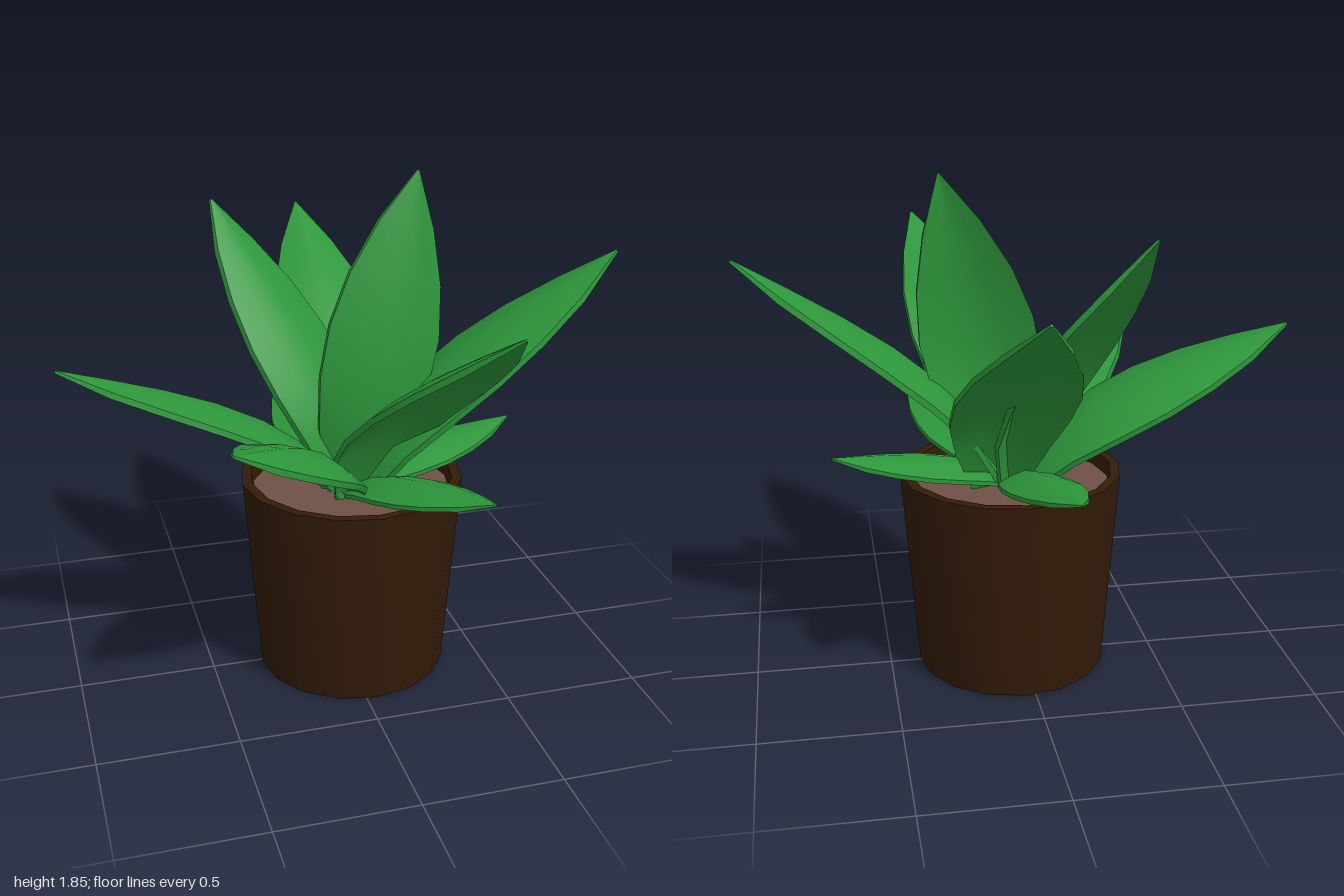
import * as THREE from 'three';
import { toCreasedNormals } from 'three/addons/utils/BufferGeometryUtils.js';

const V = (x, y, z) => new THREE.Vector3(x, y, z);
const leafMat = new THREE.MeshStandardMaterial({ color: 0x2d963b, side: THREE.DoubleSide });
const potMat = new THREE.MeshStandardMaterial({ color: 0x331b08 });
const soilMat = new THREE.MeshStandardMaterial({ color: 0x6e5145 });

// half width along the leaf, from base to tip, for a full-size leaf
const WIDTHS = [0.09, 0.17, 0.21, 0.213, 0.176, 0.105, 0.004];
const ACROSS = [-1, -0.5, 0, 0.5, 1];

// arched, roof-shaped solid leaf; "face" is roughly where its upper side looks
function leafGeometry(base, tip, { width = 1, arch = 0.12, droop = 0.28, thick = 0.022, face = V(0, 1, 0) }) {
  const along = tip.clone().sub(base);
  const dir = along.clone().normalize();
  const normal = face.clone().addScaledVector(dir, -face.dot(dir)).normalize();
  const side = dir.clone().cross(normal);
  const rows = WIDTHS.length, cols = ACROSS.length, ring = cols * 2;
  const pos = [], index = [];
  WIDTHS.forEach((w, i) => {
    const t = i / (rows - 1);
    const half = w * width;
    const mid = base.clone().addScaledVector(along, t)
      .addScaledVector(normal, arch * Math.sin(Math.PI * Math.pow(t, 0.7)));
    const th = thick * (t < 1 ? 1 : 0.4);
    const point = (s, lower) => {
      const p = mid.clone().addScaledVector(side, s * half)
        .addScaledVector(normal, -droop * half * Math.pow(Math.abs(s), 1.5) - lower);
      pos.push(p.x, p.y, p.z);
    };
    ACROSS.forEach(s => point(s, 0));
    [...ACROSS].reverse().forEach(s => point(s, th));
  });
  for (let i = 0; i < rows - 1; i++) {
    for (let j = 0; j < ring; j++) {
      const a = i * ring + j, b = i * ring + (j + 1) % ring;
      index.push(a, b, a + ring, b, b + ring, a + ring);
    }
  }
  // close both ends
  const end = (rows - 1) * ring;
  for (let j = 1; j < ring - 1; j++) {
    index.push(0, j + 1, j, end, end + j, end + j + 1);
  }
  const g = new THREE.BufferGeometry();
  g.setAttribute('position', new THREE.Float32BufferAttribute(pos, 3));
  g.setIndex(index);
  return toCreasedNormals(g, 0.7);
}

export function createModel() {
  const model = new THREE.Group();
  const add = (name, geometry, material, parent = model) => {
    const mesh = new THREE.Mesh(geometry, material);
    mesh.name = name;
    parent.add(mesh);
    return mesh;
  };

  // tapered pot with an open rim
  const profile = [[0, 0], [0.35, 0], [0.408, 0.755], [0.372, 0.755], [0.362, 0.66]]
    .map(([r, y]) => new THREE.Vector2(r, y));
  const pot = add('pot', toCreasedNormals(new THREE.LatheGeometry(profile, 16), 0.6), potMat);
  pot.position.set(0.037, 0, 0.016);

  // soil disc
  const soil = add('soil', new THREE.CircleGeometry(0.37, 16).rotateX(-Math.PI / 2), soilMat);
  soil.position.set(0.037, 0.7, 0.016);

  // leaves: name, tip, options (rootX moves the base sideways)
  const low = { width: 0.62, arch: 0.05, droop: 0.34, thick: 0.016 };
  const leaves = [
    ['backLeaf', V(0.07, 1.55, -0.94), { rootX: 0.09 }],
    ['backRightLeaf', V(-0.36, 1.69, -0.48), { width: 0.97, arch: 0.105, rootX: 0.05 }],
    ['rightLeaf', V(-1, 1.26, 0.03), { width: 0.95, arch: 0.11, face: V(0, 1, -0.15) }],
    ['frontRightLeaf', V(-0.53, 1.18, 0.71), { width: 0.85, arch: 0.09, face: V(0.14, 1, 0.11) }],
    ['frontLeaf', V(0.3, 1.55, 0.94), { width: 0.98 }],
    ['leftLeaf', V(1, 1.55, 0.1), { face: V(0, 1, 0.08) }],
    ['uprightLeaf', V(0.29, 1.85, -0.03), { width: 0.98, arch: 0.09, face: V(0, 0, 1) }],
    ['lowLeftLeaf', V(0.69, 0.87, -0.09), low],
    ['lowFrontLeaf', V(0.36, 0.87, 0.64), low],
    ['lowBackLeaf', V(-0.09, 0.87, -0.66), low],
  ];
  const foliage = new THREE.Group();
  foliage.name = 'leaves';
  model.add(foliage);
  for (const [name, tip, { rootX = 0.02, ...options }] of leaves) {
    const base = V(rootX + tip.x * 0.03, 0.72, 0.03 + tip.z * 0.03);
    add(name, leafGeometry(base, tip, options), leafMat, foliage);
  }
  return model;
}
